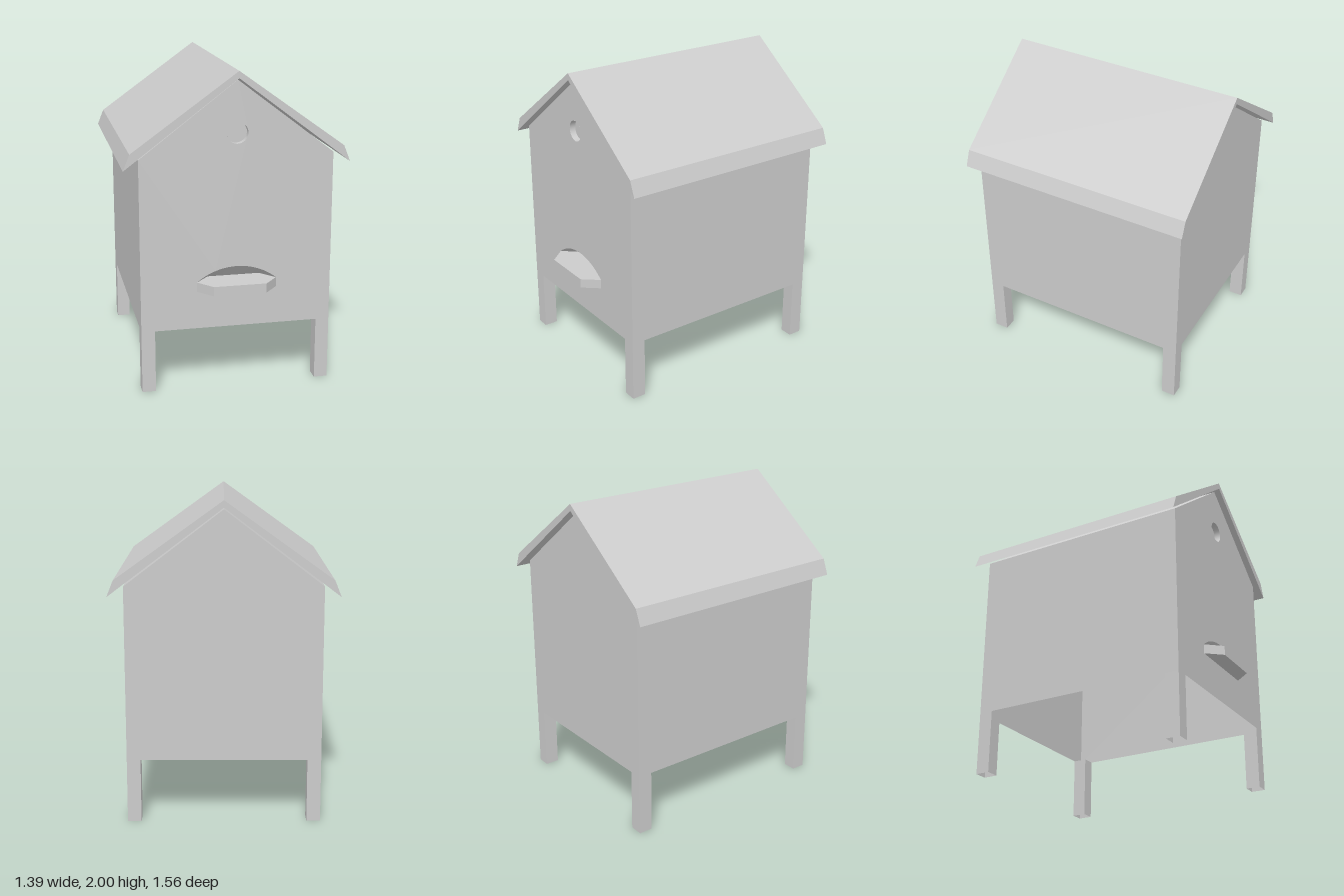
import * as THREE from 'three';
import { ParametricGeometry } from 'three/addons/geometries/ParametricGeometry.js';

const FRONT = 0.68, BACK = -0.735;

export function createModel() {
  const model = new THREE.Group();
  const sheet = new THREE.MeshStandardMaterial({ color: 0xcccccc, side: THREE.DoubleSide });
  const solid = new THREE.MeshStandardMaterial({ color: 0xcccccc });
  const add = (name, geometry, material, x = 0, y = 0, z = 0) => {
    const mesh = new THREE.Mesh(geometry, material);
    mesh.name = name;
    mesh.position.set(x, y, z);
    model.add(mesh);
    return mesh;
  };
  const shapeOf = (pts) => new THREE.Shape(pts.map(([x, y]) => new THREE.Vector2(x, y)));

  // Gabled house outline, counter-clockwise from the front
  const outline = [[0.6, 0.4], [0.6, 1.485], [0, 1.943], [-0.6, 1.485], [-0.6, 0.4]];

  // Entrance arch: circular segment resting on the landing board
  const half = 0.25, sill = 0.7, rise = 0.09;
  const radius = (half * half + rise * rise) / (2 * rise);
  const archCentre = sill + rise - radius;
  const archAngle = Math.asin(half / radius);
  const ventY = 1.625, ventR = 0.066;

  // Front wall with entrance and round vent
  const front = shapeOf(outline);
  const arch = new THREE.Path();
  arch.absarc(0, archCentre, radius, Math.PI / 2 - archAngle, Math.PI / 2 + archAngle, false);
  arch.closePath();
  const vent = new THREE.Path();
  vent.absarc(0, ventY, ventR, 0, Math.PI * 2, true);
  front.holes.push(arch, vent);
  add('frontWall', new THREE.ShapeGeometry(front, 24), sheet, 0, 0, FRONT);

  // Back wall
  const back = add('backWall', new THREE.ShapeGeometry(shapeOf(outline)), sheet, 0, 0, BACK);
  back.rotation.y = Math.PI;

  // Side walls and sloping ceiling; the underside stays open
  const shell = [];
  for (let i = 0; i < outline.length - 1; i++) {
    const [p, q] = [outline[i], outline[i + 1]];
    shell.push(...p, FRONT, ...p, BACK, ...q, FRONT, ...q, FRONT, ...p, BACK, ...q, BACK);
  }
  const shellGeometry = new THREE.BufferGeometry();
  shellGeometry.setAttribute('position', new THREE.Float32BufferAttribute(shell, 3));
  shellGeometry.computeVertexNormals();
  add('sideWalls', shellGeometry, sheet);

  // Four hollow legs, open at both ends
  for (const sx of [-1, 1]) {
    for (const z of [FRONT - 0.045, BACK + 0.045]) {
      const leg = new THREE.CylinderGeometry(Math.SQRT1_2, Math.SQRT1_2, 1, 4, 1, true, Math.PI / 4).toNonIndexed();
      leg.scale(0.085, 0.4, 0.09);
      leg.computeVertexNormals();
      add('leg', leg, sheet, sx * 0.5575, 0.2, z);
    }
  }

  // Roof: thin gabled slab with bevelled eaves
  const roof = shapeOf([
    [0, 2], [-0.655, 1.53], [-0.695, 1.43], [-0.61, 1.495],
    [0, 1.957], [0.61, 1.495], [0.695, 1.43], [0.655, 1.53],
  ]);
  add('roof', new THREE.ExtrudeGeometry(roof, { depth: 1.5, bevelEnabled: false }), solid, 0, 0, -0.783);

  // Landing board: hexagonal plate set through the front wall
  const board = shapeOf([[-0.25, 0], [-0.165, -0.1], [0.165, -0.1], [0.25, 0], [0.165, 0.1], [-0.165, 0.1]]);
  const boardGeometry = new THREE.ExtrudeGeometry(board, { depth: 0.06, bevelEnabled: false });
  boardGeometry.rotateX(-Math.PI / 2);
  add('landingBoard', boardGeometry, solid, 0, 0.64, FRONT);

  // Entrance hood: ruled from the arch down to the board's inner edge
  const hood = new ParametricGeometry((u, v, target) => {
    const a = (u * 2 - 1) * archAngle;
    const x = radius * Math.sin(a);
    const y = archCentre + radius * Math.cos(a);
    const inset = 0.1 * Math.min(1, (half - Math.abs(x)) / 0.085);
    target.set(x, y + (sill - y) * v, FRONT - inset * v);
  }, 32, 4);
  add('entranceHood', hood, sheet);

  // Shallow round vent recess
  const depth = 0.04;
  const rim = new THREE.CylinderGeometry(ventR, ventR, depth, 32, 1, true);
  rim.rotateX(Math.PI / 2);
  add('ventRim', rim, sheet, 0, ventY, FRONT - depth / 2);
  add('ventBack', new THREE.CircleGeometry(ventR, 32), sheet, 0, ventY, FRONT - depth);

  return model;
}
